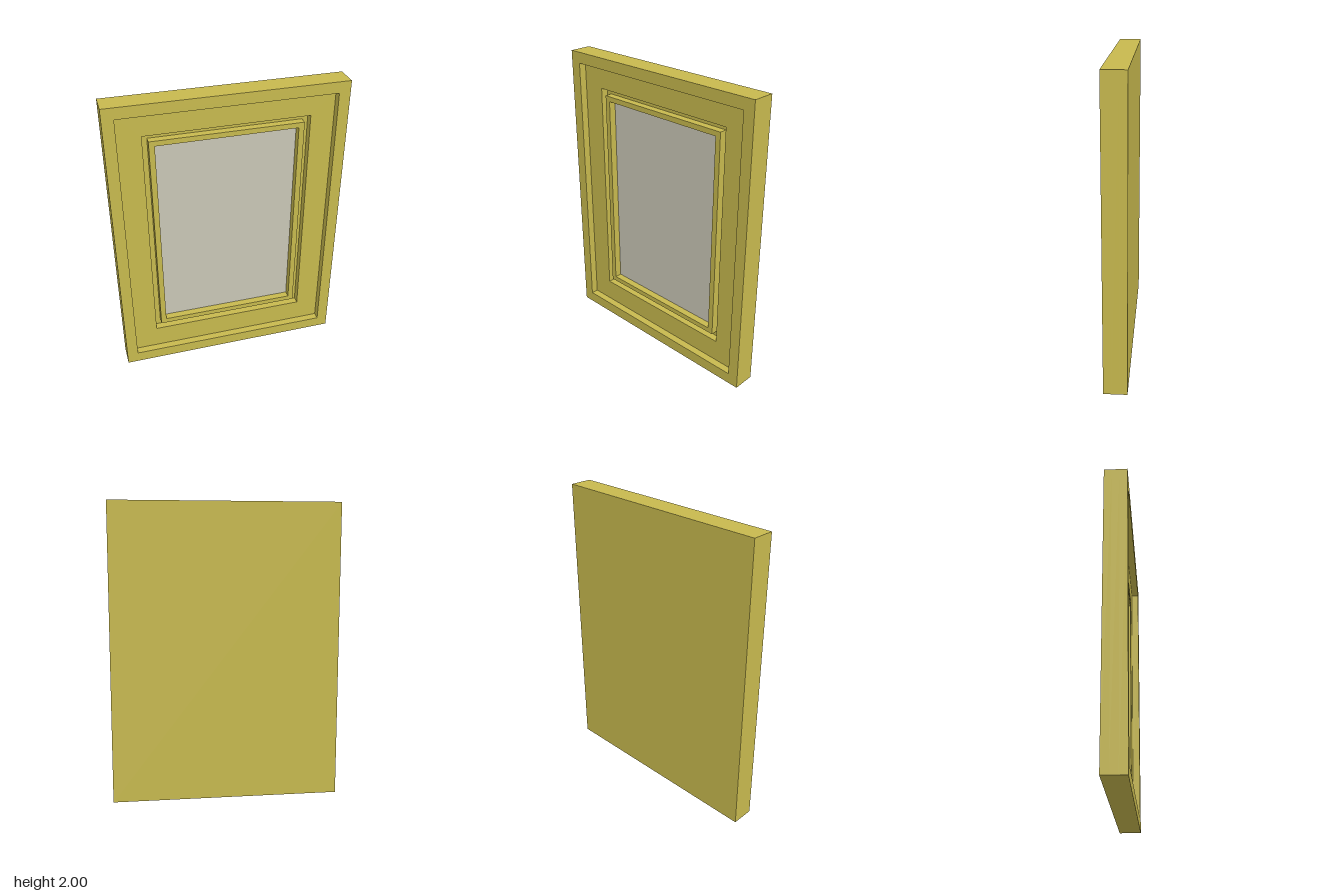
import * as THREE from 'three';

const gold = new THREE.MeshStandardMaterial({ color: 0xc7b94e });
gold.name = 'gold';
const glass = new THREE.MeshStandardMaterial({ color: 0xc9c6b6 });
glass.name = 'paleGlass';

// rectangle corners, given half width, bottom and top
function corners(w, y0, y1) {
  return [[-w, y0], [w, y0], [w, y1], [-w, y1]].map(([x, y]) => new THREE.Vector2(x, y));
}

// rectangular ring between an outer and an inner outline, from z0 to z1
function ring(name, outer, inner, z0, z1) {
  const shape = new THREE.Shape(corners(...outer));
  shape.holes.push(new THREE.Path(corners(...inner)));
  const geometry = new THREE.ExtrudeGeometry(shape, { depth: z1 - z0, bevelEnabled: false });
  geometry.translate(0, 0, z0);
  const mesh = new THREE.Mesh(geometry, gold);
  mesh.name = name;
  return mesh;
}

// solid slab filling an outline, from z0 to z1
function slab(name, [w, y0, y1], z0, z1, material) {
  const mesh = new THREE.Mesh(new THREE.BoxGeometry(2 * w, y1 - y0, z1 - z0), material);
  mesh.position.set(0, (y0 + y1) / 2, (z0 + z1) / 2);
  mesh.name = name;
  return mesh;
}

export function createModel() {
  const group = new THREE.Group();
  group.name = 'framedPanel';

  // nested outlines: half width, bottom, top
  const outside = [0.77, 0, 2];
  const rim = [0.695, 0.077, 1.925];
  const groove = [0.538, 0.232, 1.773];
  const innerFrame = [0.5, 0.273, 1.732];
  const opening = [0.463, 0.308, 1.697];

  // depth levels from back to front
  const back = -0.076, floor = -0.026, step = 0.025, front = 0.076;

  group.add(
    slab('backBoard', outside, back, floor, gold),
    ring('wideBorder', outside, groove, floor, step),
    ring('outerRim', outside, rim, step, front),
    ring('innerFrame', innerFrame, opening, floor, step),
    slab('pane', opening, floor, floor + 0.002, glass),
  );
  return group;
}
